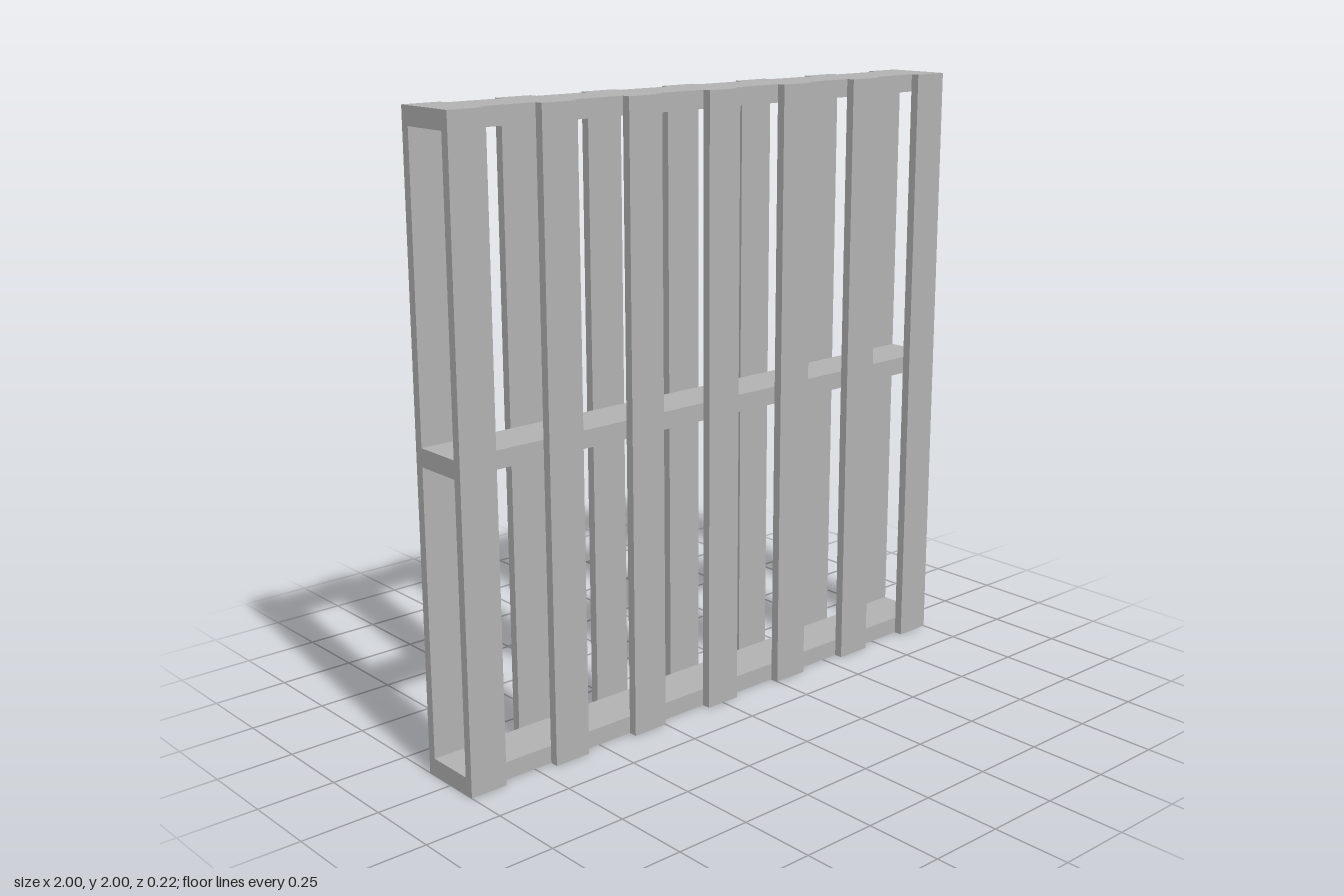
import * as THREE from 'three';

export function createModel() {
  const model = new THREE.Group();
  model.name = 'slattedPallet';
  const greyWood = new THREE.MeshStandardMaterial({ color: 0xb2b2b2 });
  greyWood.name = 'greyWood';

  const slatWidth = 0.125, slatCount = 7, height = 2;
  const depth = 0.22, railDepth = 0.163, railHeight = 0.057;
  const slatThickness = (depth - railDepth) / 2;

  const addBox = (name, size, position) => {
    const mesh = new THREE.Mesh(new THREE.BoxGeometry(...size), greyWood);
    mesh.name = name;
    mesh.position.set(...position);
    model.add(mesh);
  };

  // Three full-width rails: bottom, middle and top
  const railLevels = {
    bottomRail: railHeight / 2,
    middleRail: height / 2,
    topRail: height - railHeight / 2,
  };
  for (const [name, y] of Object.entries(railLevels)) {
    addBox(name, [2, railHeight, railDepth], [0, y, 0]);
  }

  // Evenly spaced upright slats on both faces of the rails
  const spacing = (2 - slatWidth) / (slatCount - 1);
  const slatZ = (depth - slatThickness) / 2;
  for (let i = 0; i < slatCount; i++) {
    const x = -1 + slatWidth / 2 + i * spacing;
    addBox('frontSlat', [slatWidth, height, slatThickness], [x, height / 2, slatZ]);
    addBox('backSlat', [slatWidth, height, slatThickness], [x, height / 2, -slatZ]);
  }
  return model;
}
